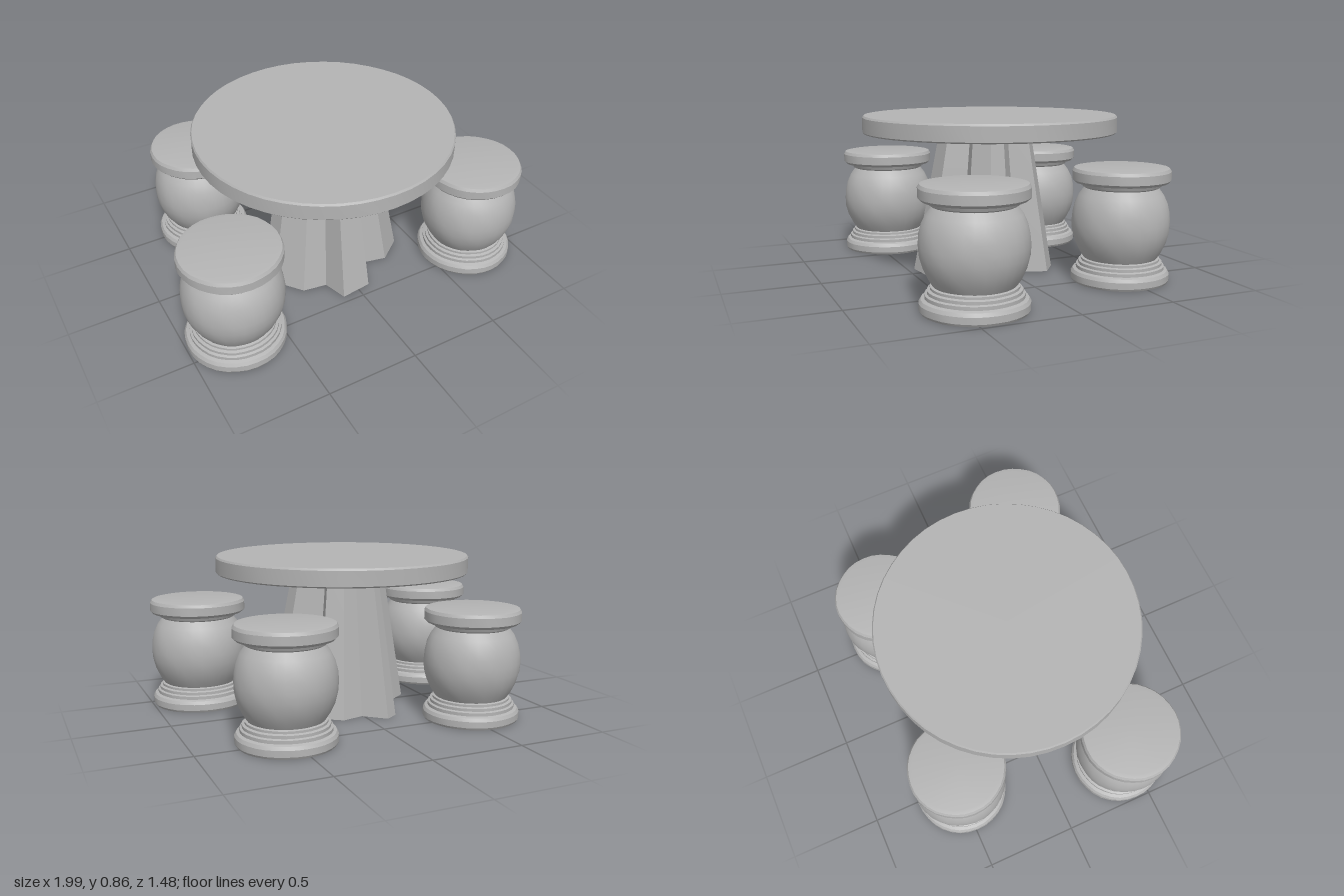
import * as THREE from 'three';
import { toCreasedNormals } from 'three/addons/utils/BufferGeometryUtils.js';

const stone = new THREE.MeshStandardMaterial({ color: 0xb4b4b4 });
stone.name = 'grey stone';

// Solid of revolution with a slightly hand-carved, worn outline
function carvedLathe(profile, segments, wear, crease) {
  const geo = new THREE.LatheGeometry(profile.map(([r, y]) => new THREE.Vector2(r, y)), segments);
  const p = geo.attributes.position;
  for (let i = 0; i < p.count; i++) {
    const x = p.getX(i), y = p.getY(i), z = p.getZ(i);
    const a = Math.atan2(z, x);
    const k = 1 + wear * (Math.sin(5 * a + 17 * y) + 0.7 * Math.sin(11 * a - 31 * y));
    p.setX(i, x * k);
    p.setZ(i, z * k);
  }
  return toCreasedNormals(geo, crease);
}

// Barrel stool: foot slab, stepped rings, round belly, collar and seat slab
const stoolProfile = [
  [0, 0], [0.258, 0], [0.265, 0.012], [0.265, 0.045], [0.255, 0.062], [0.238, 0.068],
  [0.238, 0.085], [0.226, 0.09], [0.226, 0.105], [0.212, 0.11], [0.212, 0.122], [0.2, 0.126],
  [0.222, 0.16], [0.246, 0.21], [0.261, 0.265], [0.264, 0.315], [0.26, 0.365], [0.248, 0.415],
  [0.227, 0.46], [0.198, 0.498], [0.21, 0.505], [0.218, 0.522], [0.25, 0.526], [0.264, 0.54],
  [0.264, 0.585], [0.255, 0.601], [0.235, 0.605], [0, 0.605],
];

// Foot outline of the pedestal (x, z): five ridges with grooves between them
const pedestalFoot = [
  [0.38, 0.08], [0.4, 0.2], [0.27, 0.3], [0.13, 0.27], [0.07, 0.44], [-0.1, 0.46],
  [-0.14, 0.33], [-0.27, 0.31], [-0.38, 0.17], [-0.39, 0.05], [-0.27, -0.04], [-0.13, -0.12],
  [-0.17, -0.3], [-0.1, -0.35], [0.01, -0.25], [0.13, -0.28], [0.24, -0.2], [0.19, -0.04],
];

function pedestalGeometry(height, taper) {
  const shape = new THREE.Shape(pedestalFoot.map(([x, z]) => new THREE.Vector2(x, -z)));
  const geo = new THREE.ExtrudeGeometry(shape, { depth: height, steps: 4, bevelEnabled: false });
  geo.rotateX(-Math.PI / 2);
  // Narrow towards the top
  const p = geo.attributes.position;
  for (let i = 0; i < p.count; i++) {
    const k = 1 - (1 - taper) * p.getY(i) / height;
    p.setX(i, -0.01 + (p.getX(i) + 0.01) * k);
    p.setZ(i, 0.04 + (p.getZ(i) - 0.04) * k);
  }
  return toCreasedNormals(geo, 0.5);
}

export function createModel() {
  const model = new THREE.Group();
  model.name = 'stoneTableSet';

  const add = (name, geo, x, z, scale = 1) => {
    const mesh = new THREE.Mesh(geo, stone);
    mesh.name = name;
    mesh.position.set(x, 0, z);
    mesh.scale.set(scale, 1, scale);
    model.add(mesh);
    return mesh;
  };

  // Round table top with a small worn edge
  const topProfile = [[0, 0.765], [0.69, 0.765], [0.697, 0.772], [0.697, 0.85], [0.69, 0.86], [0, 0.86]];
  add('tableTop', carvedLathe(topProfile, 48, 0.001, 0.5), 0, 0.042);

  add('pedestal', pedestalGeometry(0.77, 0.65), 0, 0);

  // Four stools, the back pair slightly smaller and closer in
  const stool = carvedLathe(stoolProfile, 32, 0.004, 0.45);
  for (const side of [1, -1]) {
    const label = side > 0 ? 'Left' : 'Right';
    add('front' + label + 'Stool', stool, side * 0.731, 0.424).rotation.y = side;
    add('back' + label + 'Stool', stool, side * 0.53, -0.485, 0.975).rotation.y = side * 2.2;
  }

  return model;
}
